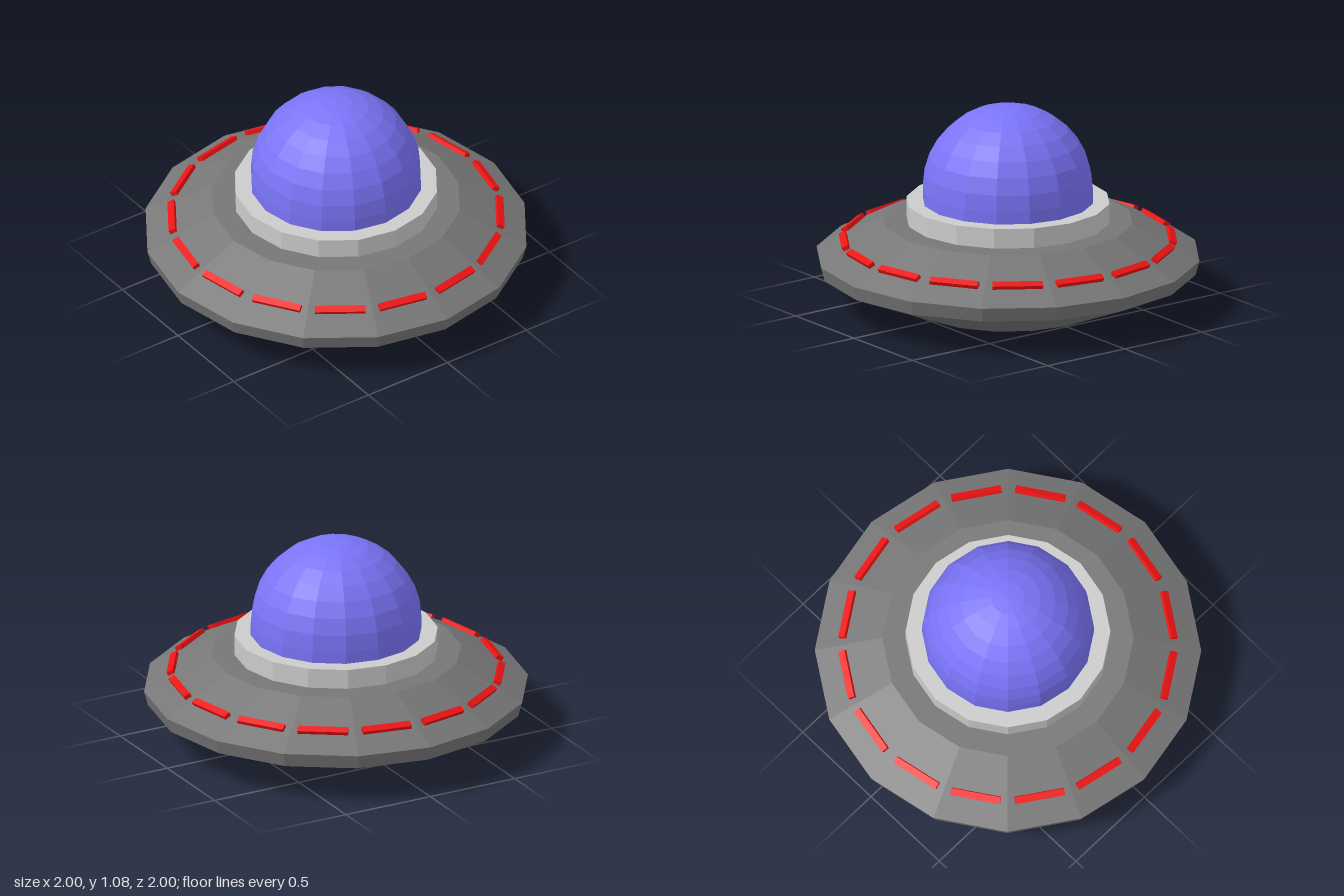
import * as THREE from 'three';

const SIDES = 16;

function material(color) {
  return new THREE.MeshStandardMaterial({ color, flatShading: true });
}

// Faceted turned part from [radius, height] pairs, listed bottom to top
function turned(name, profile, color) {
  const points = profile.map(([r, y]) => new THREE.Vector2(r, y));
  const mesh = new THREE.Mesh(new THREE.LatheGeometry(points, SIDES), material(color));
  mesh.name = name;
  return mesh;
}

export function createModel() {
  const model = new THREE.Group();
  model.name = 'flyingSaucer';

  // Saucer hull and the collar that carries the dome
  model.add(turned('hull',
    [[0, 0], [0.49, 0], [0.98, 0.2], [1, 0.275], [0.65, 0.46], [0, 0.46]], 0x777777));
  model.add(turned('collar', [[0.53, 0.45], [0.53, 0.565], [0, 0.565]], 0xcccccc));

  // Dome: short skirt below a faceted hemisphere
  const radius = 0.445, centre = 0.63, rings = 8;
  const dome = [[radius, 0.56]];
  for (let i = 0; i <= rings; i++) {
    const a = (i / rings) * Math.PI / 2;
    dome.push([i === rings ? 0 : radius * Math.cos(a), centre + radius * Math.sin(a)]);
  }
  model.add(turned('dome', dome, 0x7a74f8));

  // One light bar on each sloping hull panel
  const lights = new THREE.Group();
  lights.name = 'lights';
  const barGeometry = new THREE.BoxGeometry(0.262, 0.024, 0.037);
  const red = material(0xee1414);
  const slope = Math.atan2(0.185, 0.35 * Math.cos(Math.PI / SIDES));
  for (let i = 0; i < SIDES; i++) {
    const arm = new THREE.Group();
    arm.name = 'lightMount';
    arm.rotation.y = (i + 0.5) * 2 * Math.PI / SIDES;
    const bar = new THREE.Mesh(barGeometry, red);
    bar.name = 'lightBar';
    bar.position.set(0, 0.358, 0.848);
    bar.rotation.x = slope;
    arm.add(bar);
    lights.add(arm);
  }
  model.add(lights);

  return model;
}
